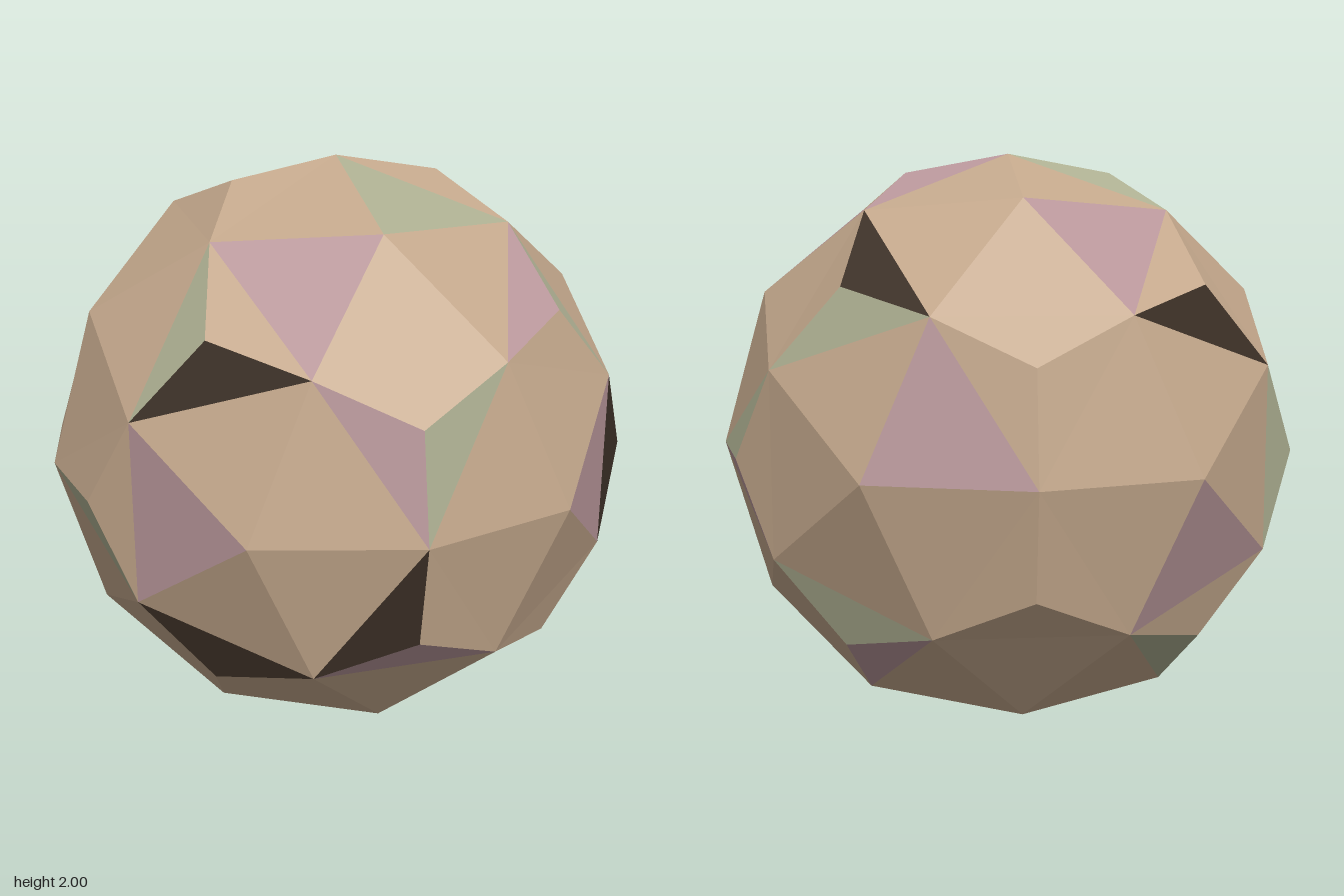
import * as THREE from 'three';

// Directions of the tinted facets; every other facet is tan.
const TINTS = {
  pink: { color: 0xb8969a, dirs: [
    [-0.28, 0, 0.9], [0.06, 0.72, 0.61], [0.39, 0.29, 0.83], [0.45, -0.45, 0.73], [-0.84, 0.28, 0.32],
    [-0.93, -0.1, 0.24], [-0.52, -0.71, 0.32], [0.19, 0.91, -0.24], [0.52, 0.71, -0.32],
    [-0.52, 0.72, -0.32], [-0.23, 0.17, -0.9], [0.69, 0.63, 0.24], [0.93, 0, 0.15], [0.63, -0.1, -0.72],
    [0.29, -0.89, 0.15], [-0.85, -0.27, -0.32], [0.1, -0.63, -0.72], [-0.3, -0.92, 0.06], [0.3, -0.92, -0.06]] },
  green: { color: 0xaeb092, dirs: [
    [-0.29, 0.57, 0.73], [0.57, 0.29, 0.72], [-0.63, -0.1, 0.72], [0.29, 0.89, 0.15], [-0.3, 0.92, 0.06],
    [0.15, 0.46, -0.83], [0.78, 0.57, 0.06], [0.93, -0.1, -0.24], [0.63, 0.1, -0.72], [0.69, -0.63, 0.24],
    [0.15, -0.46, -0.83], [-0.96, 0, 0.06], [-0.69, -0.63, -0.24]] },
  dark: { color: 0x3c3026, dirs: [
    [-0.15, 0.46, 0.83], [-0.15, -0.46, 0.83], [0.39, -0.29, 0.83], [-0.19, -0.91, 0.24], [-0.78, -0.57, -0.06],
    [0.96, 0, -0.06], [0.1, 0.63, -0.72], [-0.81, 0.46, -0.24], [0.19, -0.91, -0.24]] },
};

// Icosahedron corners with a five-fold axis along z.
function icosahedronCorners() {
  const pts = [new THREE.Vector3(0, 0, 1), new THREE.Vector3(0, 0, -1)];
  const h = 1 / Math.sqrt(5);
  for (let k = 0; k < 5; k++) {
    const a = (k * 2 * Math.PI) / 5;
    pts.push(new THREE.Vector3(2 * h * Math.cos(a), 2 * h * Math.sin(a), h));
    pts.push(new THREE.Vector3(-2 * h * Math.cos(a), -2 * h * Math.sin(a), -h));
  }
  return pts;
}

const onSphere = (...pts) =>
  pts.reduce((sum, p) => sum.add(p), new THREE.Vector3()).normalize();

// Each icosahedron face gives three corner facets and a raised centre of three.
function buildFacets() {
  const facets = [];
  const add = (a, b, c) => {
    const n = b.clone().sub(a).cross(c.clone().sub(a));
    facets.push({ pts: n.dot(a) > 0 ? [a, b, c] : [a, c, b], dir: onSphere(a, b, c), tint: 'tan' });
  };
  const v = icosahedronCorners();
  const near = (a, b) => a.distanceTo(b) < 1.1;
  for (let i = 0; i < 12; i++)
    for (let j = i + 1; j < 12; j++)
      for (let k = j + 1; k < 12; k++) {
        if (!near(v[i], v[j]) || !near(v[j], v[k]) || !near(v[k], v[i])) continue;
        const corners = [v[i], v[j], v[k]];
        const mids = corners.map((p, n) => onSphere(p, corners[(n + 1) % 3]));
        const centre = onSphere(...corners);
        for (let n = 0; n < 3; n++) {
          add(corners[n], mids[n], mids[(n + 2) % 3]);
          add(mids[n], mids[(n + 1) % 3], centre);
        }
      }
  return facets;
}

export function createModel() {
  const group = new THREE.Group();
  group.name = 'facetedBall';
  const facets = buildFacets();

  // Tint the facet closest to each listed direction
  for (const [tint, { dirs }] of Object.entries(TINTS))
    for (const d of dirs) {
      const dir = new THREE.Vector3(...d).normalize();
      facets.reduce((best, f) => (f.dir.dot(dir) > best.dir.dot(dir) ? f : best)).tint = tint;
    }

  // One mesh per facet colour
  for (const [tint, { color }] of Object.entries({ tan: { color: 0xc4a88c }, ...TINTS })) {
    const pts = facets.filter((f) => f.tint === tint).flatMap((f) => f.pts);
    const geometry = new THREE.BufferGeometry().setFromPoints(pts);
    geometry.computeVertexNormals();
    const mesh = new THREE.Mesh(geometry, new THREE.MeshStandardMaterial({ color, flatShading: true }));
    mesh.name = `${tint}Facets`;
    mesh.position.y = 1;
    group.add(mesh);
  }
  return group;
}
